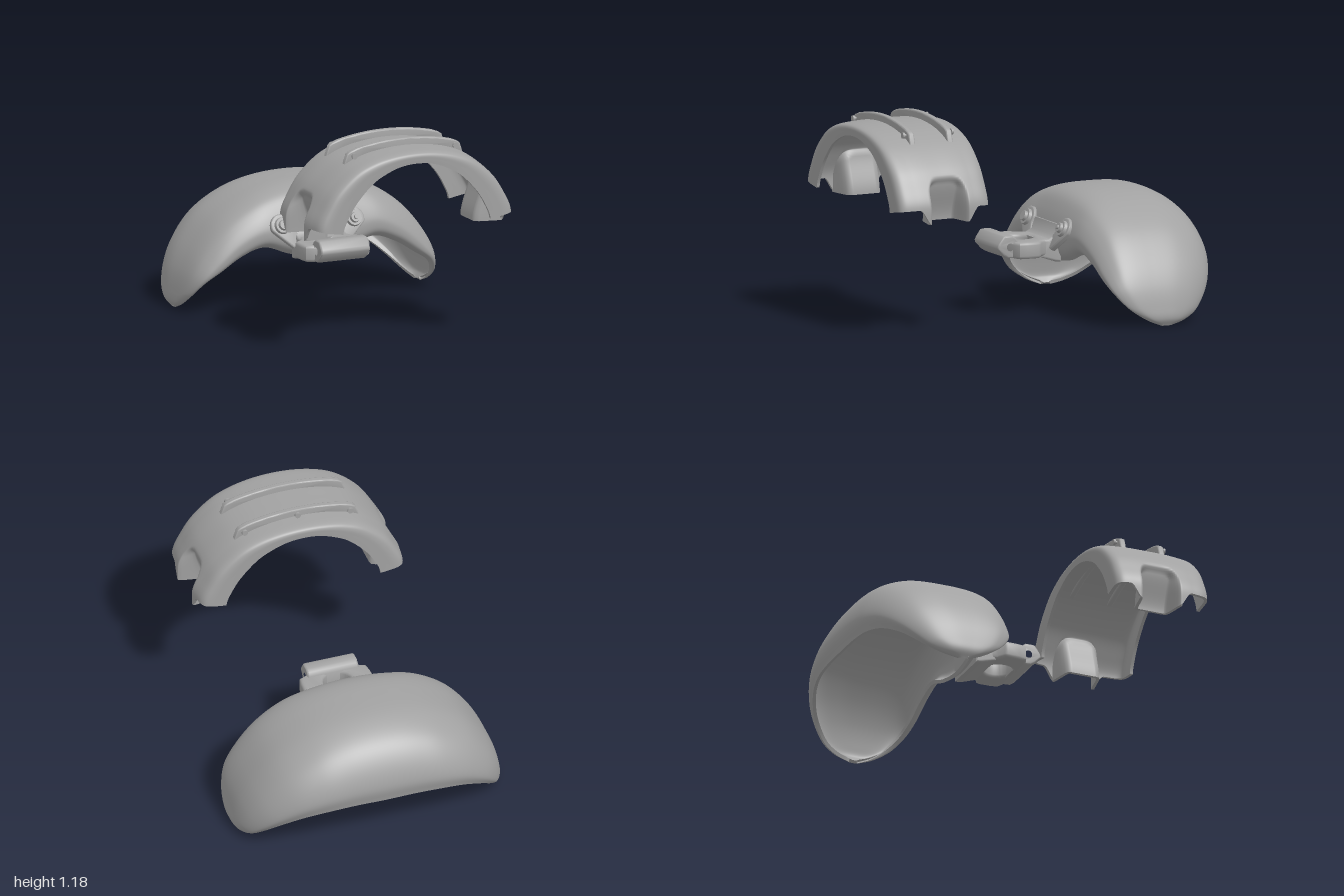
import * as THREE from 'three';
import { mergeGeometries, toCreasedNormals } from 'three/addons/utils/BufferGeometryUtils.js';

const grey = new THREE.MeshStandardMaterial({ color: 0xa2a2a2 });
grey.name = 'plain grey';

function add(parent, name, geometry, x = 0, y = 0, z = 0) {
  const mesh = new THREE.Mesh(geometry, grey);
  mesh.name = name;
  mesh.position.set(x, y, z);
  parent.add(mesh);
  return mesh;
}

// Smooth curve through half-side stations, mirrored across x = 0
function mirroredCurve(half) {
  const right = half.map((p) => new THREE.Vector3(p[0], p[1], p[2] || 0));
  const left = right.slice(1).reverse().map((p) => new THREE.Vector3(-p.x, p.y, p.z));
  return new THREE.CatmullRomCurve3([...left, ...right]);
}

// Curved sheet given by f(u, v), thickened inward, with a closed rim
function shell(f, nu, nv, thickness) {
  const pos = [], index = [], inner = [];
  const id = (i, j) => i * (nv + 1) + j;
  for (let i = 0; i <= nu; i++)
    for (let j = 0; j <= nv; j++) pos.push(...f(i / nu, j / nv));
  for (let i = 0; i < nu; i++)
    for (let j = 0; j < nv; j++) {
      const a = id(i, j), b = id(i + 1, j), c = id(i + 1, j + 1), d = id(i, j + 1);
      index.push(a, b, d, b, c, d);
    }
  const make = (p, ix) => {
    const g = new THREE.BufferGeometry();
    g.setAttribute('position', new THREE.Float32BufferAttribute(p, 3));
    g.setIndex(ix);
    g.computeVertexNormals();
    return g;
  };
  const outer = make(pos, index);
  const n = outer.attributes.normal.array;
  for (let k = 0; k < pos.length; k++) inner.push(pos[k] - n[k] * thickness);
  const flipped = [];
  for (let k = 0; k < index.length; k += 3) flipped.push(index[k], index[k + 2], index[k + 1]);

  const loop = [];
  for (let i = 0; i < nu; i++) loop.push(id(i, 0));
  for (let j = 0; j < nv; j++) loop.push(id(nu, j));
  for (let i = nu; i > 0; i--) loop.push(id(i, nv));
  for (let j = nv; j > 0; j--) loop.push(id(0, j));
  const rim = [], rimIndex = [];
  loop.forEach((k, m) => {
    rim.push(...pos.slice(k * 3, k * 3 + 3), ...inner.slice(k * 3, k * 3 + 3));
    const a = m * 2, b = ((m + 1) % loop.length) * 2;
    rimIndex.push(a, a + 1, b + 1, a, b + 1, b);
  });
  return mergeGeometries([outer, make(inner, flipped), make(rim, rimIndex)]);
}

function extrude(points, depth, hole, bevel = 0.008) {
  const shape = new THREE.Shape(points.map((p) => new THREE.Vector2(p[0], p[1])));
  if (hole) shape.holes.push(new THREE.Path().absarc(hole[0], hole[1], hole[2] + bevel, 0, Math.PI * 2, true));
  const g = new THREE.ExtrudeGeometry(shape, {
    depth: depth - 2 * bevel, bevelEnabled: bevel > 0, bevelSize: bevel, bevelOffset: -bevel,
    bevelThickness: bevel, bevelSegments: 3, curveSegments: 24,
  });
  g.translate(0, 0, -depth / 2 + bevel);
  return toCreasedNormals(g, 0.75);
}

// Side profile given as [z, y], extruded along x
const sideExtrude = (points, width, hole, bevel) =>
  extrude(points.map(([z, y]) => [-z, y]), width, hole && [-hole[0], hole[1], hole[2]], bevel).rotateY(Math.PI / 2);

const disc = (r1, r2, h) => new THREE.CylinderGeometry(r1, r2, h, 28).rotateX(Math.PI / 2);
const step = THREE.MathUtils.smoothstep;

function narrowFender() {
  const group = new THREE.Group();
  group.name = 'narrowFender';
  const crown = mirroredCurve([[0, 1.145], [0.14, 1.136], [0.266, 1.11], [0.38, 1.06], [0.5, 0.957],
    [0.564, 0.86], [0.608, 0.765], [0.612, 0.655]]);
  const lip = mirroredCurve([[0, 1.074], [0.1, 1.063], [0.19, 1.03], [0.266, 0.986], [0.37, 0.88],
    [0.42, 0.8], [0.45, 0.73], [0.453, 0.658]]);
  // Section as [distance from middle, fraction from crown to lip]
  const half = [[0.278, 1], [0.28, 0.7], [0.28, 0.42], [0.272, 0.24], [0.25, 0.13], [0.17, 0.04], [0.1, 0.005]];
  const section = new THREE.CatmullRomCurve3([...half, [0, 0], ...half.map(([z, a]) => [-z, a]).reverse()]
    .map(([z, a]) => new THREE.Vector3(z, a * 0.12, 0)));
  const body = shell((u, v) => {
    const s = section.getPointAt(v), a = s.y / 0.12, w = Math.abs(s.x + 0.02);
    // the legs reach lowest in the middle
    const reach = 0.89 + 0.11 * (1 - step(w, 0.11, 0.185));
    const t = 0.5 + (u - 0.5) * reach;
    const p = crown.getPoint(t).lerp(lip.getPoint(t), a);
    // round-topped recess on both legs
    const top = 0.92 - 0.06 * Math.pow(Math.min(w / 0.11, 1), 4);
    const mask = (1 - step(w, 0.08, 0.118)) * (1 - step(p.y, top - 0.05, top));
    const target = 0.465 + 0.06 * step(p.y, 0.65, 0.9);
    const x = Math.abs(p.x) + (Math.min(Math.abs(p.x), target) - Math.abs(p.x)) * mask;
    return [Math.sign(p.x) * x, p.y, 0.72 + s.x];
  }, 120, 110, 0.018);
  add(group, 'fenderShell', body);

  // Pair of raised rails with bolts on their outer faces
  const railPoints = [[-0.37, 1.05], [-0.345, 1.125], [-0.325, 1.137]];
  for (let i = -8; i <= 8; i++) railPoints.push([i * 0.036, 1.184 - 0.4 * (i * 0.036) ** 2]);
  railPoints.push([0.325, 1.137], [0.345, 1.125], [0.37, 1.05]);
  for (let i = 8; i >= -8; i--) railPoints.push([i * 0.036, 1.125 - 0.65 * (i * 0.036) ** 2]);
  for (const [z, dir, xs] of [[0.81, 1, [-0.31, 0.31]], [0.577, -1, [-0.31, 0, 0.31]]]) {
    add(group, 'rail', extrude(railPoints, 0.034, null, 0.008), 0, 0, z);
    for (const x of xs) {
      const y = x ? 1.115 : 1.16;
      add(group, 'railBolt', disc(0.008, 0.008, 0.04), x, y, z + dir * 0.02);
      add(group, 'railBoltHead', disc(0.017, 0.017, 0.012), x, y, z + dir * 0.034);
    }
  }
  return group;
}

function wideFender() {
  const group = new THREE.Group();
  group.name = 'wideFender';
  const crown = mirroredCurve([[0, 0.692, -0.578], [0.215, 0.672, -0.578], [0.383, 0.618, -0.575], [0.55, 0.513, -0.57],
    [0.676, 0.363, -0.55], [0.745, 0.23, -0.53], [0.775, 0.11, -0.54], [0.78, 0.045, -0.55], [0.757, 0.004, -0.565]]);
  // Lower edges; z holds the widest reach of that side
  const front = mirroredCurve([[0, 0.325, -0.21], [0.18, 0.345, -0.215], [0.34, 0.385, -0.22], [0.48, 0.335, -0.23],
    [0.605, 0.25, -0.245], [0.69, 0.185, -0.275], [0.735, 0.11, -0.345], [0.75, 0.04, -0.45], [0.75, 0.004, -0.54]]);
  const back = mirroredCurve([[0, 0.284, -1], [0.18, 0.284, -0.997], [0.33, 0.272, -0.987], [0.465, 0.24, -0.955],
    [0.59, 0.175, -0.895], [0.662, 0.11, -0.83], [0.708, 0.055, -0.76], [0.733, 0.02, -0.68], [0.745, 0.002, -0.6]]);
  // Section as [z reach, drop]; positive reach is the front side, which tucks under at its edge
  const section = new THREE.CatmullRomCurve3([[0.84, 1.12], [0.94, 1.04], [0.985, 0.95], [1, 0.8], [0.985, 0.65],
    [0.88, 0.35], [0.73, 0.13], [0.51, 0.03], [0, 0], [-0.39, 0.04], [-0.71, 0.2], [-0.9, 0.445], [-1, 0.77], [-0.96, 1]]
    .map(([b, a]) => new THREE.Vector3(b, a, 0)));
  const body = shell((u, v) => {
    const s = section.getPointAt(v), c = crown.getPoint(u);
    const e = (s.x > 0 ? front : back).getPoint(u);
    const a = Math.max(s.y, 0);
    return [c.x + (e.x - c.x) * a, c.y + (e.y - c.y) * a, c.z + (e.z - c.z) * Math.abs(s.x)];
  }, 110, 80, 0.02);
  add(group, 'fenderShell', body);
  return group;
}

function mountingBracket() {
  const group = new THREE.Group();
  group.name = 'mountingBracket';
  group.position.x = -0.034;

  // Flat tongue with a round vertical hole
  const edge = [[0.15, 0.23], [0.14, 0.17], [0.16, 0.11], [0.198, 0.085], [0.205, 0.07], [0.203, 0],
    [0.195, -0.045], [0.15, -0.065]];
  const outline = [...edge.map(([w, d]) => [-w, d]), ...edge.slice().reverse()];
  add(group, 'tongue', extrude(outline, 0.095, [0, 0.04, 0.062], 0.018).rotateX(-Math.PI / 2), 0, 0.376, 0);

  // Nose with a cross hole
  add(group, 'nose', sideExtrude([[0.156, 0.4], [0.15, 0.415], [0.122, 0.455], [0.11, 0.459], [0.065, 0.459],
    [0.045, 0.445], [0.03, 0.425], [0.03, 0.33], [0.095, 0.333], [0.12, 0.35], [0.155, 0.388]],
  0.3, [0.08, 0.395, 0.022], 0.01));

  // Thin neck flaring into the fender
  add(group, 'neck', sideExtrude([[-0.115, 0.42], [-0.16, 0.422], [-0.195, 0.44], [-0.22, 0.5], [-0.245, 0.5],
    [-0.237, 0.29], [-0.2, 0.293], [-0.115, 0.322]], 0.3, null, 0.012));

  // Tapered ears with stacked washers and bolts
  for (const side of [-1, 1]) {
    const ear = new THREE.Group();
    ear.name = side > 0 ? 'leftEar' : 'rightEar';
    ear.position.set(side * 0.219, 0.482, -0.22);
    ear.rotation.x = -0.42;
    group.add(ear);
    const pts = [];
    for (let i = 0; i <= 20; i++) {
      const t = -0.35 + (i / 20) * (Math.PI + 0.6);
      pts.push([side * 0.068 * Math.cos(t), 0.068 * Math.sin(t)]);
    }
    pts.push([-side * 0.12, -0.11], [-side * 0.05, -0.13]);
    if (side < 0) pts.reverse();
    add(ear, 'strap', extrude(pts, 0.035), 0, 0, -0.005);
    add(ear, 'washer', disc(0.043, 0.048, 0.018), 0, 0, 0.02);
    add(ear, 'boltHead', disc(0.026, 0.031, 0.022), 0, 0, 0.034);
    if (side > 0) add(ear, 'boltTip', disc(0.011, 0.012, 0.012), 0, 0, 0.049);
  }
  return group;
}

export function createModel() {
  const model = new THREE.Group();
  model.name = 'fenderSet';
  model.add(narrowFender(), wideFender(), mountingBracket());
  return model;
}
